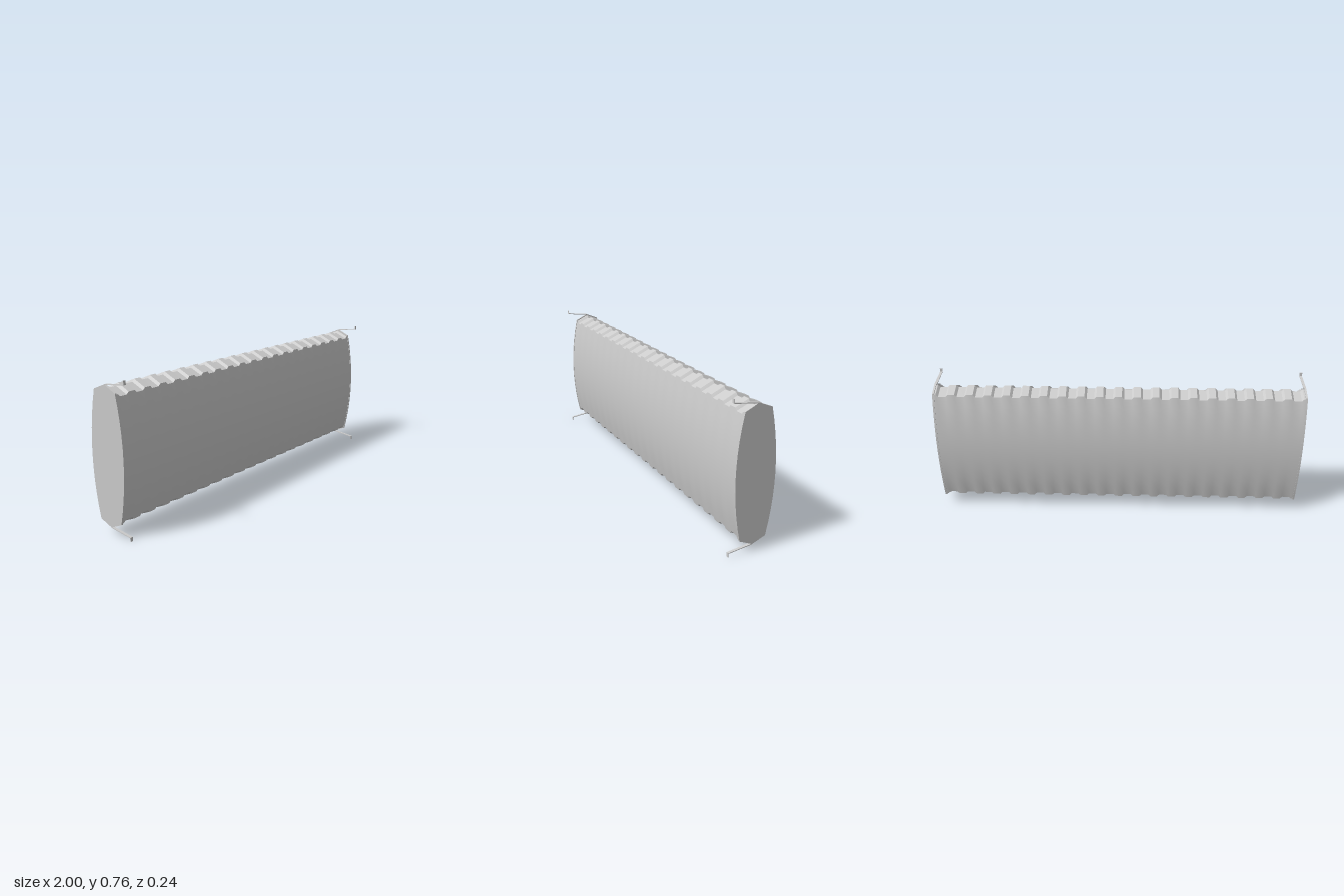
import * as THREE from 'three';
import { toCreasedNormals } from 'three/addons/utils/BufferGeometryUtils.js';

const MID = 0.381; // height of the panel's centre line

// Outline of the end plate as [z, y]: bulged front going up, ridge, bulged back going down, ridge
function outline() {
  const pts = [], n = 10;
  for (let i = 0; i <= n; i++) {
    const t = -1 + (2 * i) / n;
    pts.push([0.096 - 0.036 * t * t, MID + 0.314 * t]);
  }
  pts.push([-0.01, 0.727]);
  for (let i = 0; i <= n; i++) {
    const t = 1 - (2 * i) / n;
    pts.push([-0.117 + 0.037 * t * t, MID + 0.317 * t]);
  }
  pts.push([-0.01, 0.036]);
  return pts;
}

// Corrugated skin: the outline swept along x, its height stepping between rib and groove
function skinGeometry(section) {
  const stations = [];
  for (let k = -10; k <= 10; k++) {
    for (const [dx, s] of [[-0.03, 0.944], [-0.018, 0.982], [0.018, 0.982], [0.03, 0.944]]) {
      const x = k / 10 + dx;
      if (Math.abs(x) < 0.99) stations.push([x, s]);
    }
  }
  stations.unshift([-0.992, 0.982]);
  stations.push([0.992, 0.982]);
  const pos = [], index = [], n = section.length;
  stations.forEach(([x, s], j) => {
    section.forEach(([z, y], i) => {
      pos.push(x, MID + (y - MID) * s, -0.01 + (z + 0.01) * 0.985);
      if (j === stations.length - 1) return;
      const a = j * n + i, c = j * n + ((i + 1) % n);
      index.push(a, a + n, c, c, a + n, c + n);
    });
  });
  const g = new THREE.BufferGeometry();
  g.setAttribute('position', new THREE.Float32BufferAttribute(pos, 3));
  g.setIndex(index);
  return toCreasedNormals(g, Math.PI / 7);
}

// Extrudes a [z, y] outline along x, centred on x = 0
function extrudeX(points, width) {
  const shape = new THREE.Shape(points.map(([z, y]) => new THREE.Vector2(-z, y)));
  return new THREE.ExtrudeGeometry(shape, { depth: width, bevelEnabled: false })
    .translate(0, 0, -width / 2).rotateY(Math.PI / 2);
}

export function createModel() {
  const group = new THREE.Group();
  const material = new THREE.MeshStandardMaterial({ color: 0xcccccc });
  const add = (name, geometry, x = 0) => {
    const mesh = new THREE.Mesh(geometry, material);
    mesh.name = name;
    mesh.position.x = x;
    group.add(mesh);
  };

  const section = outline();
  add('corrugatedSkin', skinGeometry(section));

  // Thin bent bracket: sloping arm with an upright tip
  const bracket = [[-0.01, 0.724], [0.119, 0.741], [0.119, 0.762], [0.116, 0.762], [0.116, 0.744], [-0.01, 0.728]];
  const lower = bracket.map(([z, y]) => [z, 2 * MID - y]);

  for (const [side, sx] of [['left', 1], ['right', -1]]) {
    add(side + 'EndPlate', extrudeX(section, 0.01), sx * 0.995);
    add(side + 'UpperBracket', extrudeX(bracket, 0.014), sx * 0.993);
    add(side + 'LowerBracket', extrudeX(lower, 0.014), sx * 0.993);
  }
  return group;
}
